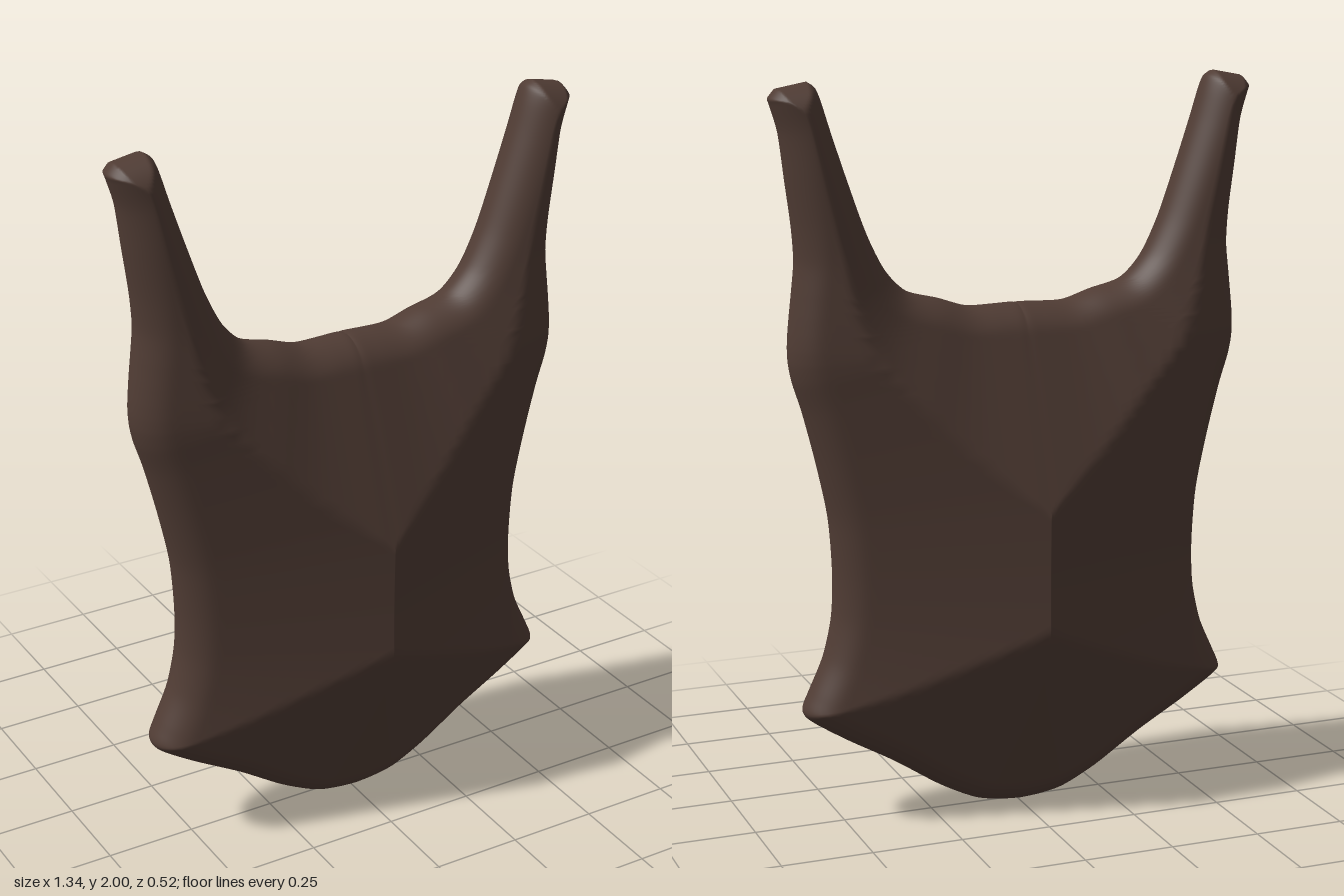
import * as THREE from 'three';
import { mergeVertices } from 'three/addons/utils/BufferGeometryUtils.js';

// Cross rows of the left half, bottom to top: inner x, inner y, outer x, outer y.
// The inner end runs up the centre line, then along the neckline and strap.
const ROWS = [
  [0, 0.005, 0, 0.005], [0, 0.04, 0.06, 0.01], [0, 0.12, 0.13, 0.025], [0, 0.25, 0.23, 0.075],
  [0, 0.42, 0.36, 0.16], [0, 0.56, 0.49, 0.235], [0, 0.66, 0.59, 0.3], [0, 0.7, 0.61, 0.33],
  [0, 0.73, 0.59, 0.38], [0, 0.78, 0.55, 0.47], [0, 0.86, 0.525, 0.58], [0, 0.95, 0.52, 0.7],
  [0, 1.08, 0.53, 0.85], [0, 1.2, 0.56, 1], [0, 1.3, 0.595, 1.14], [0, 1.37, 0.62, 1.22],
  [0, 1.4, 0.63, 1.27], [0.06, 1.4, 0.632, 1.31], [0.14, 1.4, 0.63, 1.35], [0.22, 1.425, 0.625, 1.4],
  [0.31, 1.45, 0.618, 1.46], [0.37, 1.51, 0.61, 1.54], [0.42, 1.61, 0.615, 1.63], [0.47, 1.75, 0.63, 1.75],
  [0.51, 1.87, 0.645, 1.87], [0.535, 1.95, 0.665, 1.94], [0.55, 1.985, 0.67, 1.96], [0.57, 2, 0.65, 1.985],
];
const NECK = 16;   // row where the neckline starts
const STEPS = 6;   // rows between two key rows
const COLS = 36;

const curve = (k) => new THREE.CatmullRomCurve3(
  ROWS.map((r) => new THREE.Vector3(r[k], r[k + 1], 0)), false, 'catmullrom', 0.4);

// Distance from a point to a polyline
function distance(x, y, line) {
  let best = Infinity;
  for (let i = 0; i + 1 < line.length; i++) {
    const a = line[i], b = line[i + 1];
    const dx = b.x - a.x, dy = b.y - a.y;
    const len = dx * dx + dy * dy || 1e-9;
    const t = THREE.MathUtils.clamp(((x - a.x) * dx + (y - a.y) * dy) / len, 0, 1);
    best = Math.min(best, Math.hypot(x - a.x - t * dx, y - a.y - t * dy));
  }
  return best;
}

// Half thickness: rounded rim, then a steady slope up to the ridges
function thickness(d) {
  if (d < 1e-5) return 0;
  const t = Math.min(d / 0.07, 1);
  return 0.36 * d + 0.07 * Math.sqrt(1 - (1 - t) ** 2);
}

function bodiceGeometry() {
  const n = (ROWS.length - 1) * STEPS;
  const inner = curve(0).getPoints(n), outer = curve(2).getPoints(n);
  inner.forEach((p, i) => { if (i <= NECK * STEPS || p.x < 0) p.x = 0; });
  // outline of the left half: hem and side up, over the strap, down to the neck
  const outline = [...outer, ...inner.slice(NECK * STEPS).reverse()];

  const positions = [], index = [];
  for (const sx of [1, -1]) for (const sz of [1, -1]) {
    const base = positions.length / 3;
    for (let i = 0; i <= n; i++) for (let j = 0; j <= COLS; j++) {
      const u = (1 - Math.cos(Math.PI * j / COLS)) / 2;
      const x = THREE.MathUtils.lerp(inner[i].x, outer[i].x, u);
      const y = THREE.MathUtils.lerp(inner[i].y, outer[i].y, u);
      const rim = j === COLS || i === n || i === 0 || (j === 0 && i >= NECK * STEPS);
      positions.push(sx * x, y, rim ? 0 : sz * thickness(distance(x, y, outline)));
    }
    for (let i = 0; i < n; i++) for (let j = 0; j < COLS; j++) {
      const a = base + i * (COLS + 1) + j, b = a + 1, d = a + COLS + 1, c = d + 1;
      const tris = i === 0 ? [[a, c, d]] : [[a, b, c], [a, c, d]];
      for (const [p, q, r] of tris) index.push(...(sx * sz > 0 ? [p, q, r] : [p, r, q]));
    }
  }
  const geometry = new THREE.BufferGeometry();
  geometry.setAttribute('position', new THREE.Float32BufferAttribute(positions, 3));
  geometry.setIndex(index);
  const merged = mergeVertices(geometry, 1e-5);
  merged.computeVertexNormals();
  return merged;
}

export function createModel() {
  const group = new THREE.Group();
  group.name = 'sleevelessTop';
  const fabric = new THREE.MeshStandardMaterial({ color: 0x503c34, side: THREE.DoubleSide });
  fabric.name = 'dark brown fabric';
  // Padded body with both shoulder straps in one skin
  const body = new THREE.Mesh(bodiceGeometry(), fabric);
  body.name = 'bodiceWithStraps';
  group.add(body);
  return group;
}
